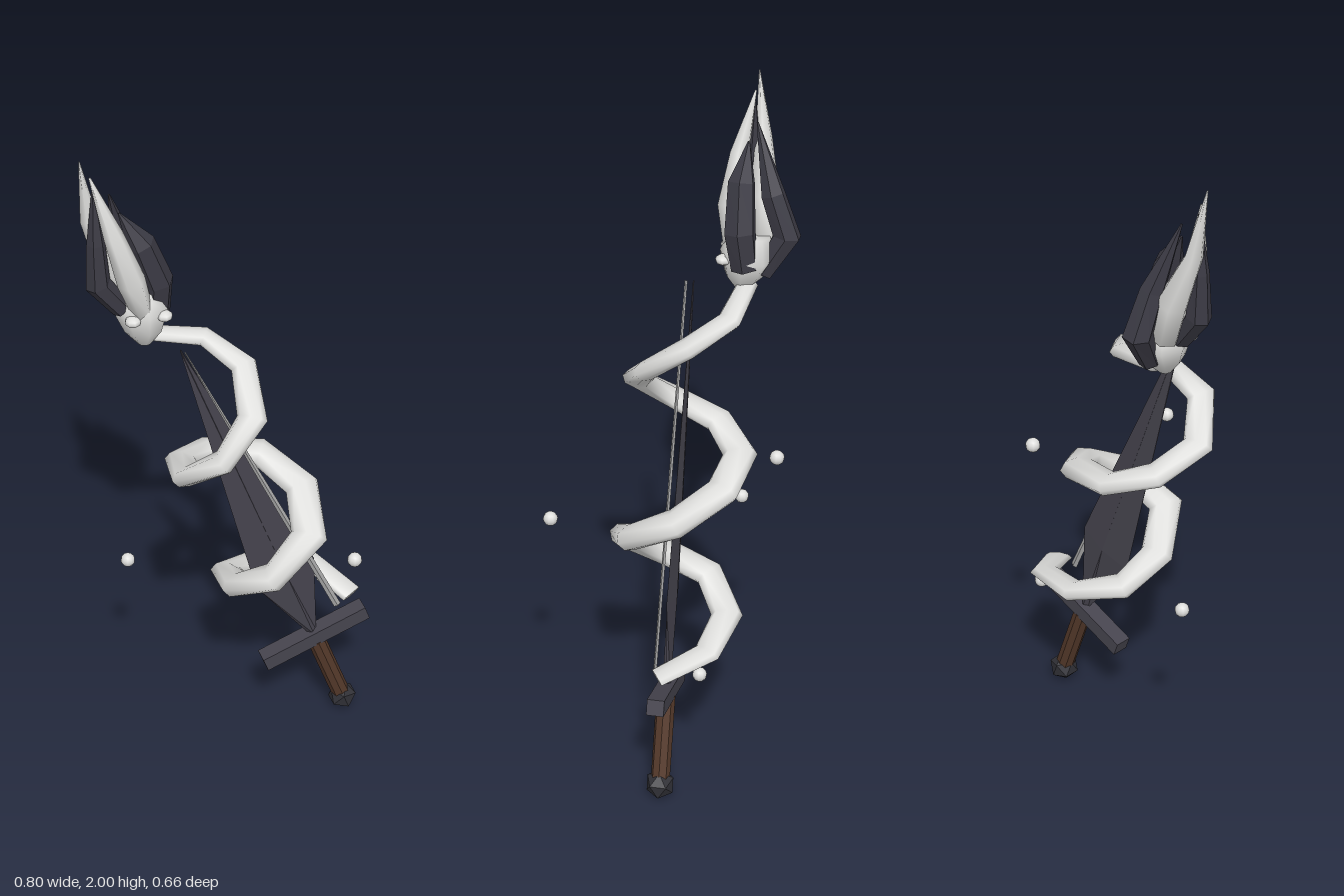
import * as THREE from 'three';

const V = (x, y, z) => new THREE.Vector3(x, y, z);

// Closed tube with elliptical sections: points are [x, y, z, a, b];
// a is the half-width along tangent x ref, b the half-width across it.
function loft(points, ref, sides, flat) {
  const pos = [], idx = [], n = points.length;
  const c = points.map(p => V(p[0], p[1], p[2]));
  c.forEach((p, i) => {
    const next = c[Math.min(i + 1, n - 1)], prev = c[Math.max(i - 1, 0)];
    const ahead = next.clone().sub(p).normalize(), behind = p.clone().sub(prev).normalize();
    const T = ahead.add(behind).normalize();
    const R = T.clone().cross(ref).normalize();
    const B = T.clone().cross(R);
    const a = points[i][3], b = points[i][4] ?? a;
    for (let j = 0; j < sides; j++) {
      const t = (j / sides) * Math.PI * 2;
      const q = p.clone().addScaledVector(R, a * Math.cos(t)).addScaledVector(B, b * Math.sin(t));
      pos.push(q.x, q.y, q.z);
    }
  });
  for (let i = 0; i < n - 1; i++) {
    for (let j = 0; j < sides; j++) {
      const k = (j + 1) % sides;
      const p = i * sides + j, q = i * sides + k;
      idx.push(p, q, p + sides, q, q + sides, p + sides);
    }
  }
  // end caps
  const last = (n - 1) * sides;
  for (let j = 1; j < sides - 1; j++) {
    idx.push(0, j + 1, j, last, last + j, last + j + 1);
  }
  let g = new THREE.BufferGeometry();
  g.setAttribute('position', new THREE.Float32BufferAttribute(pos, 3));
  g.setIndex(idx);
  if (flat) g = g.toNonIndexed();
  g.computeVertexNormals();
  return g;
}

export function createModel() {
  const mat = (name, color) => {
    const m = new THREE.MeshStandardMaterial({ color });
    m.name = name;
    return m;
  };
  const pale = mat('pale skin', 0xdededc);
  const dark = mat('dark crest', 0x3b3a44);
  const steel = mat('dark steel', 0x46444e);
  const edge = mat('edge grey', 0xa9a9a9);
  const wood = mat('brown grip', 0x54392a);
  const black = mat('pommel black', 0x303036);

  const model = new THREE.Group();
  const UP = V(0, 1, 0), FRONT = V(0, 0, 1);
  const add = (parent, name, geometry, material, x = 0, y = 0, z = 0) => {
    const m = new THREE.Mesh(geometry, material);
    m.name = name;
    m.position.set(x, y, z);
    parent.add(m);
    return m;
  };

  // Sword, leaning to its right
  const sword = new THREE.Group();
  sword.name = 'sword';
  sword.position.set(0.327, 0.045, -0.02);
  sword.rotation.z = 0.345;
  model.add(sword);
  add(sword, 'pommel', new THREE.IcosahedronGeometry(0.045, 0), black);
  add(sword, 'grip', new THREE.CylinderGeometry(0.028, 0.028, 0.25, 8).toNonIndexed(), wood, 0, 0.145, 0)
    .geometry.computeVertexNormals();
  add(sword, 'guard', new THREE.BoxGeometry(0.345, 0.047, 0.05), steel, 0, 0.288, 0);
  add(sword, 'blade', loft([
    [0, 0.30, 0, 0.012, 0.012],
    [0, 0.57, 0, 0.096, 0.014],
    [0, 1.49, 0, 0.002, 0.002],
  ], FRONT, 4, true), steel);

  // Slim bright strip along the blade's edge
  add(model, 'bladeEdge', loft([
    [0.295, 0.43, 0, 0.011, 0.005],
    [0.06, 0.945, 0, 0.008, 0.005],
    [-0.17, 1.45, 0, 0.002, 0.004],
  ], FRONT, 4, true), edge);

  // Serpent body coiling up round the sword, tail first
  add(model, 'serpentBody', loft([
    [0.345, 0.447, -0.015, 0.040, 0.012],
    [0.265, 0.495, -0.145, 0.044, 0.018],
    [0.11, 0.520, -0.175, 0.046, 0.024],
    [-0.02, 0.565, -0.10, 0.050, 0.030],
    [-0.03, 0.620, 0.03, 0.052, 0.034],
    [0.04, 0.710, 0.135, 0.054, 0.036],
    [0.165, 0.795, 0.09, 0.055, 0.037],
    [0.19, 0.875, -0.04, 0.055, 0.036],
    [0.10, 0.940, -0.155, 0.053, 0.032],
    [-0.05, 0.970, -0.18, 0.050, 0.028],
    [-0.155, 1.01, -0.10, 0.049, 0.028],
    [-0.182, 1.06, 0.04, 0.048, 0.028],
    [-0.105, 1.155, 0.128, 0.046, 0.029],
    [-0.005, 1.245, 0.08, 0.044, 0.029],
    [0.012, 1.34, -0.04, 0.042, 0.026],
    [-0.07, 1.392, -0.14, 0.038, 0.020],
    [-0.23, 1.425, -0.165, 0.030, 0.018],
  ], UP, 8), pale);

  // Head with eyes
  add(model, 'serpentHead', loft([
    [-0.24, 1.405, -0.145, 0.018],
    [-0.24, 1.45, -0.15, 0.055],
    [-0.24, 1.51, -0.16, 0.078],
    [-0.25, 1.57, -0.165, 0.06],
  ], FRONT, 8), pale);
  for (const s of [-1, 1]) {
    add(model, s < 0 ? 'rightEye' : 'leftEye', new THREE.SphereGeometry(0.023, 8, 6), pale,
      -0.24 + s * 0.045, 1.513, -0.1).scale.y = 0.65;
  }

  // Crest of spikes sweeping up from the head
  const spikes = {
    frontSpike: [pale, [-0.25, 1.52, -0.12, 0.03], [-0.285, 1.64, -0.105, 0.04],
      [-0.325, 1.78, -0.12, 0.028], [-0.375, 1.95, -0.155, 0.003]],
    tallBackSpike: [pale, [-0.28, 1.54, -0.19, 0.04], [-0.315, 1.66, -0.195, 0.045],
      [-0.375, 1.81, -0.18, 0.025], [-0.40, 2.0, -0.16, 0.002]],
    leftSpike: [dark, [-0.20, 1.49, -0.16, 0.04], [-0.20, 1.60, -0.145, 0.046],
      [-0.245, 1.73, -0.14, 0.04], [-0.30, 1.83, -0.15, 0.003]],
    backSpike: [dark, [-0.24, 1.46, -0.205, 0.03], [-0.26, 1.57, -0.268, 0.042],
      [-0.27, 1.69, -0.225, 0.035], [-0.32, 1.88, -0.17, 0.003]],
    rightSpike: [dark, [-0.30, 1.53, -0.15, 0.03], [-0.365, 1.62, -0.15, 0.036],
      [-0.367, 1.75, -0.15, 0.026], [-0.367, 1.92, -0.155, 0.003]],
  };
  for (const [name, [material, ...points]] of Object.entries(spikes)) {
    add(model, name, loft(points, FRONT, 6, material === dark), material);
  }

  // Small orbs floating round the sword
  [[0.115, 1.08, -0.31], [0.217, 0.865, 0.313], [-0.31, 0.655, -0.145], [0.297, 0.44, -0.13]]
    .forEach((p, i) => add(model, 'orb' + (i + 1), new THREE.SphereGeometry(0.021, 10, 8), pale, ...p));

  return model;
}
